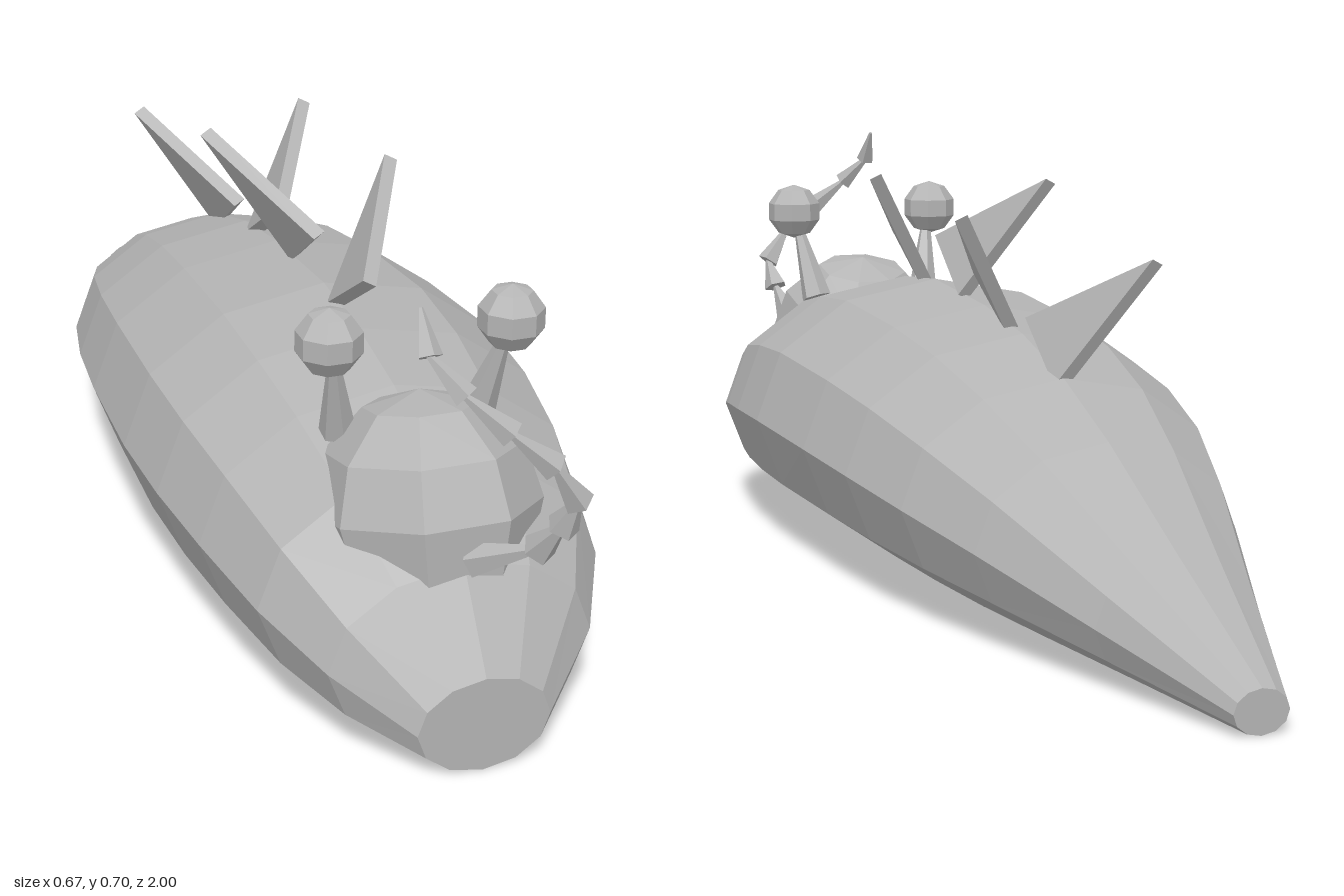
import * as THREE from 'three';
import { ConvexGeometry } from 'three/addons/geometries/ConvexGeometry.js';

const V = (x, y, z) => new THREE.Vector3(x, y, z);

// Loft of elliptical rings, all resting on the ground, closed at both ends.
// Each ring is [z, halfWidth, height], listed front to back.
function bodyGeometry(rings, sides) {
  const pos = [], idx = [];
  rings.forEach(([z, rx, h]) => {
    for (let i = 0; i < sides; i++) {
      const a = (i / sides) * Math.PI * 2;
      pos.push(rx * Math.sin(a), h / 2 + (h / 2) * Math.cos(a), z);
    }
  });
  for (let r = 0; r < rings.length - 1; r++) {
    for (let i = 0; i < sides; i++) {
      const a = r * sides + i, b = r * sides + ((i + 1) % sides);
      idx.push(a, b, a + sides, b, b + sides, a + sides);
    }
  }
  const last = (rings.length - 1) * sides;
  for (let i = 1; i < sides - 1; i++) {
    idx.push(0, i + 1, i);
    idx.push(last, last + i, last + i + 1);
  }
  const g = new THREE.BufferGeometry();
  g.setAttribute('position', new THREE.Float32BufferAttribute(pos, 3));
  g.setIndex(idx);
  g.computeVertexNormals();
  return g;
}

export function createModel() {
  const model = new THREE.Group();
  const skin = new THREE.MeshStandardMaterial({ color: 0xb4b4b4, flatShading: true });
  skin.name = 'greySkin';

  const add = (geometry, name) => {
    const mesh = new THREE.Mesh(geometry, skin);
    mesh.name = name;
    model.add(mesh);
    return mesh;
  };

  // Tapered piece running from one point to another
  const taper = (from, to, r0, r1, sides, name) => {
    const dir = to.clone().sub(from);
    const mesh = add(new THREE.CylinderGeometry(r1, r0, dir.length(), sides), name);
    mesh.position.copy(from).add(to).multiplyScalar(0.5);
    mesh.quaternion.setFromUnitVectors(V(0, 1, 0), dir.normalize());
  };

  // Slug body, from nose to tail
  const rings = [
    [0.92, 0.1, 0.148], [0.83, 0.2, 0.28], [0.71, 0.264, 0.374], [0.55, 0.302, 0.43],
    [0.4, 0.324, 0.458], [0.24, 0.333, 0.47], [0, 0.322, 0.452], [-0.17, 0.304, 0.425],
    [-0.34, 0.27, 0.377], [-0.51, 0.216, 0.306], [-0.75, 0.129, 0.185], [-1, 0.042, 0.065],
  ];
  add(bodyGeometry(rings, 12), 'body');

  // Domed head tipped back a little
  const head = add(new THREE.SphereGeometry(0.168, 8, 6), 'head');
  head.position.set(0, 0.305, 0.688);
  head.rotation.set(-0.24, Math.PI / 8, 0);

  // Eyes on tapering stalks
  for (const [side, s] of [['left', 1], ['right', -1]]) {
    taper(V(s * 0.108, 0.4, 0.607), V(s * 0.131, 0.535, 0.65), 0.028, 0.008, 6, side + 'EyeStalk');
    const eye = add(new THREE.SphereGeometry(0.051, 8, 5), side + 'Eye');
    eye.position.set(s * 0.138, 0.562, 0.65);
    eye.rotation.y = Math.PI / 8;
  }

  // Back spines: triangular plates leaning to alternate sides [side, zFront, yFront]
  const spines = [[1, 0.435, 0.545], [-1, 0.225, 0.545], [1, 0.015, 0.508], [-1, -0.195, 0.45]];
  spines.forEach(([s, z, y], i) => {
    const front = V(0.003 * s, y, z);
    const tip = V(0.121 * s, y + 0.112, z - 0.225);
    const root = V(-0.005 * s, y - 0.09, z - 0.137);
    const half = tip.clone().sub(front).cross(root.clone().sub(front)).normalize().multiplyScalar(0.011);
    const corners = [front, tip, root].flatMap((p) => [p.clone().add(half), p.clone().sub(half)]);
    add(new ConvexGeometry(corners), 'spine' + (i + 1));
  });

  // Curling tongue: a chain of small cones, each rising out of the last
  const path = [
    V(0.012, 0.285, 0.83), V(0.078, 0.328, 0.9), V(0.092, 0.382, 0.942), V(0.1, 0.432, 0.968),
    V(0.058, 0.495, 0.977), V(0, 0.545, 0.965), V(-0.055, 0.595, 0.94),
    V(-0.092, 0.642, 0.905), V(-0.092, 0.697, 0.87),
  ];
  for (let i = 0; i < path.length - 1; i++) {
    const end = path[i + 1].clone();
    if (i < path.length - 2) end.lerp(path[i], -0.15);
    taper(path[i], end, 0.026 - 0.0012 * i, 0.003, 5, 'tongueSegment' + (i + 1));
  }

  return model;
}
